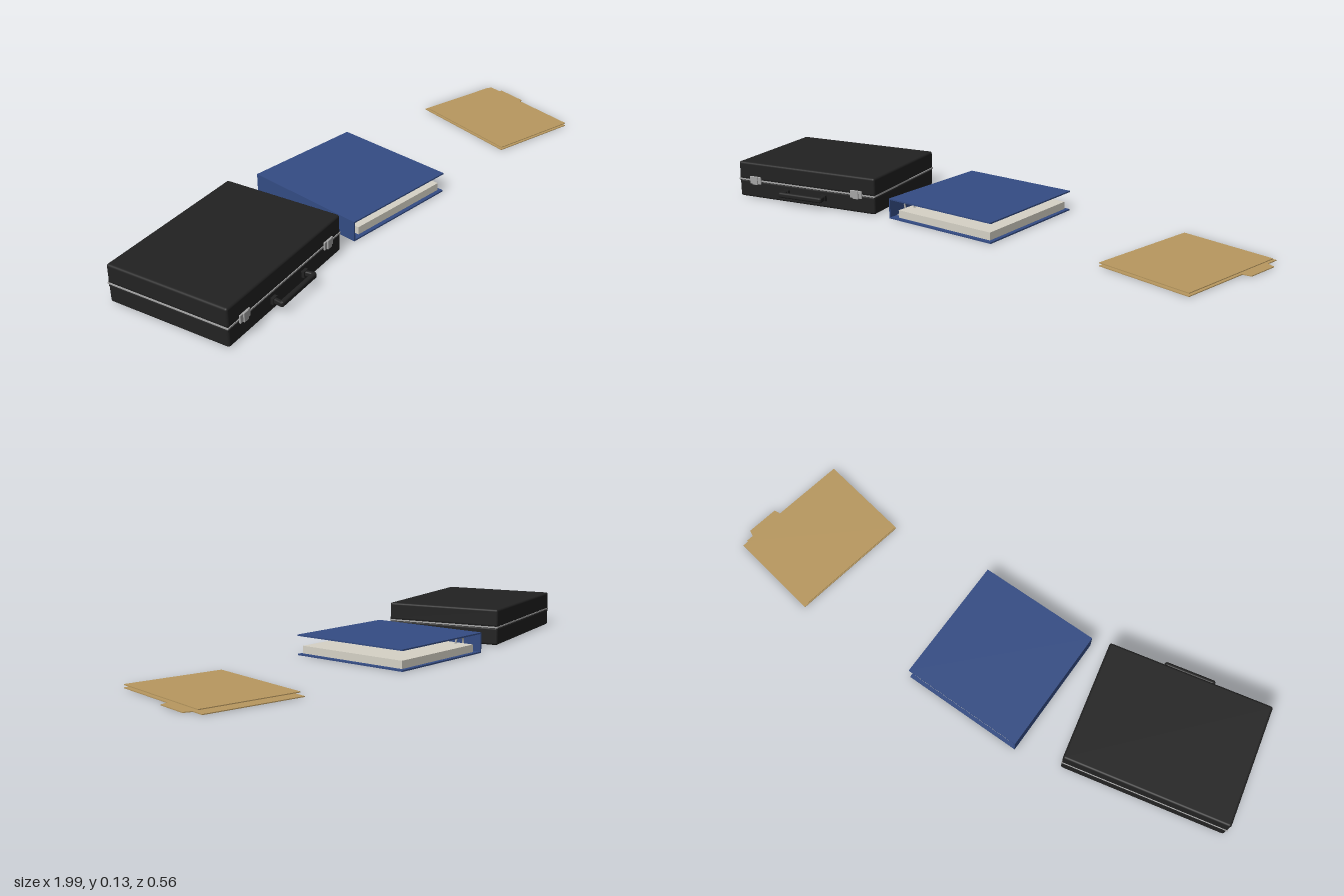
import * as THREE from 'three';
import { RoundedBoxGeometry } from 'three/addons/geometries/RoundedBoxGeometry.js';

function mat(name, color) {
  const m = new THREE.MeshStandardMaterial({ color });
  m.name = name;
  return m;
}

export function createModel() {
  const black = mat('black leather', 0x222222);
  const metal = mat('metal', 0xa6a6a6);
  const blue = mat('blue cover', 0x344c84);
  const white = mat('paper', 0xd6d2c6);
  const tan = mat('manila card', 0xb8985f);

  const model = new THREE.Group();
  model.name = 'officeSet';

  function group(name, x, z, turn) {
    const g = new THREE.Group();
    g.name = name;
    g.position.set(x, 0, z);
    g.rotation.y = turn;
    model.add(g);
    return g;
  }
  function add(parent, name, geometry, material, x, y, z) {
    const m = new THREE.Mesh(geometry, material);
    m.name = name;
    m.position.set(x, y, z);
    parent.add(m);
    return m;
  }
  const box = (w, h, d) => new THREE.BoxGeometry(w, h, d);
  const rounded = (w, h, d, r) => new RoundedBoxGeometry(w, h, d, 3, r);

  // Briefcase: two shells around a metal seam
  const briefcase = group('briefcase', -0.678, 0.004, 0.152);
  add(briefcase, 'lowerShell', rounded(0.582, 0.065, 0.437, 0.008), black, 0, 0.0325, 0);
  add(briefcase, 'upperShell', rounded(0.582, 0.065, 0.437, 0.008), black, 0, 0.0995, 0);
  add(briefcase, 'seamFill', box(0.579, 0.024, 0.434), black, 0, 0.066, 0);
  add(briefcase, 'metalSeam', box(0.584, 0.005, 0.439), metal, 0, 0.066, 0);

  for (const s of [-1, 1]) {
    // Latches
    add(briefcase, 'latchPlate', rounded(0.048, 0.028, 0.006, 0.002), metal, s * 0.217, 0.067, 0.221);
    add(briefcase, 'latchClasp', rounded(0.022, 0.032, 0.006, 0.002), metal, s * 0.217, 0.067, 0.225);
    // Handle mounts and arms
    add(briefcase, 'handleMount', box(0.022, 0.022, 0.014), black, s * 0.08, 0.037, 0.222);
    const arm = add(briefcase, 'handleArm', rounded(0.014, 0.018, 0.04, 0.005), black, s * 0.083, 0.037, 0.24);
    arm.rotation.y = s * 0.15;
  }
  add(briefcase, 'handleGrip', rounded(0.182, 0.02, 0.016, 0.007), black, 0, 0.037, 0.254);

  // Ring binder, open on three sides
  const binder = group('binder', -0.053, -0.039, -0.067);
  add(binder, 'bottomCover', box(0.446, 0.005, 0.464), blue, 0, 0.0025, 0);
  add(binder, 'topCover', box(0.446, 0.005, 0.464), blue, 0, 0.0705, 0);
  add(binder, 'spine', box(0.005, 0.063, 0.464), blue, -0.2205, 0.0365, 0);
  add(binder, 'pages', box(0.4, 0.027, 0.438), white, 0.01, 0.0195, 0);
  add(binder, 'ringRail', box(0.022, 0.004, 0.4), metal, -0.204, 0.007, 0);
  for (const z of [-0.16, 0, 0.16]) {
    add(binder, 'ring', new THREE.TorusGeometry(0.023, 0.0035, 8, 24), metal, -0.192, 0.034, z);
  }

  // Folder: back leaf with a side tab, shorter front leaf above it
  const folder = group('folder', 0.7625, 0.02, -0.238);
  const leaf = new THREE.Shape([
    [-0.17, -0.2215], [0.17, -0.2215], [0.17, 0.04], [0.198, 0.048],
    [0.198, 0.166], [0.17, 0.174], [0.17, 0.2215], [-0.17, 0.2215],
  ].map(([x, y]) => new THREE.Vector2(x, y)));
  const leafGeometry = new THREE.ExtrudeGeometry(leaf, { depth: 0.003, bevelEnabled: false });
  leafGeometry.rotateX(-Math.PI / 2);
  add(folder, 'backLeaf', leafGeometry, tan, 0, 0, 0);
  add(folder, 'frontLeaf', box(0.34, 0.003, 0.423), tan, 0, 0.0115, 0.01);
  add(folder, 'leafSpacer', box(0.03, 0.007, 0.006), tan, -0.08, 0.0065, 0);

  return model;
}
